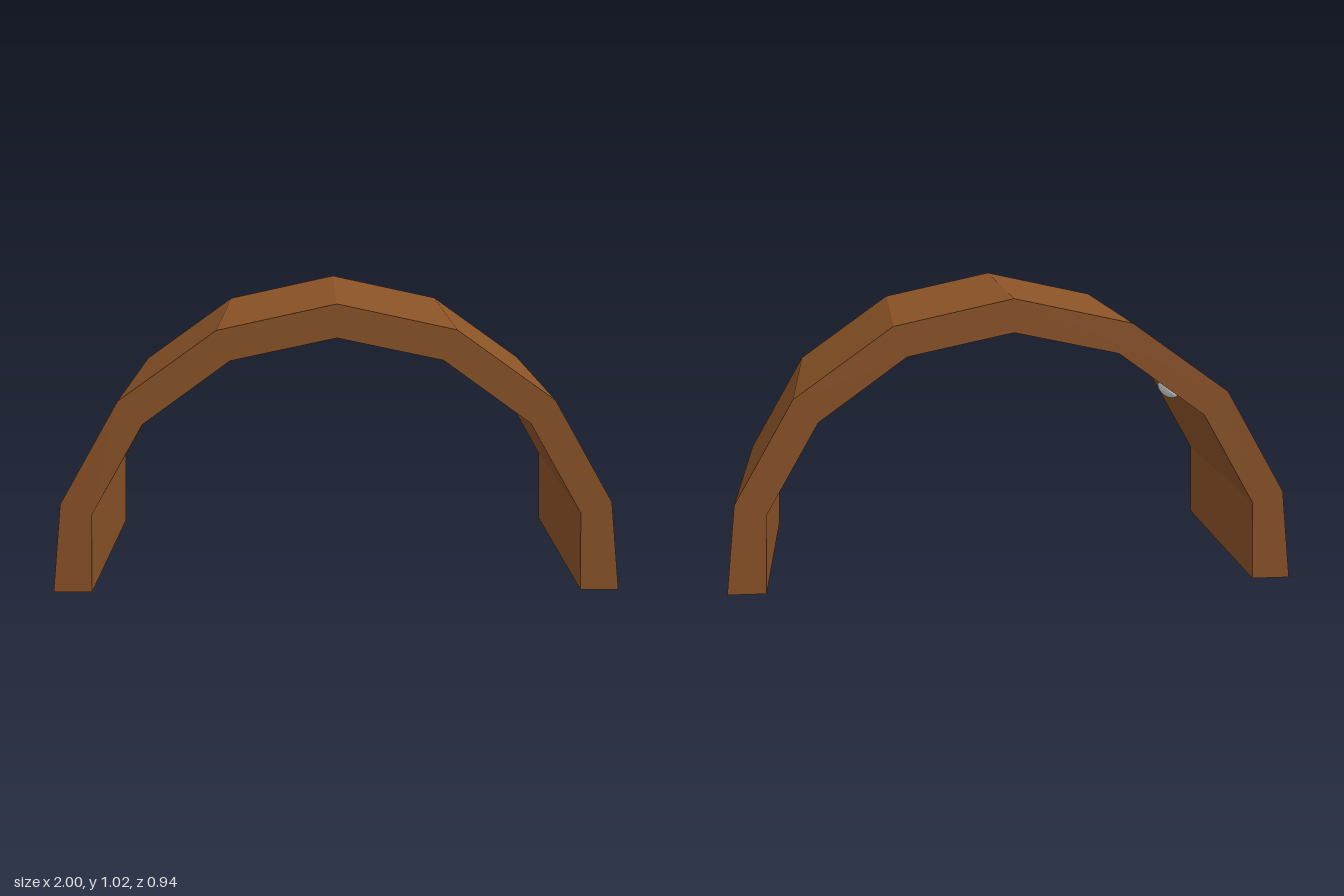
import * as THREE from 'three';

// Right half of the arch section, from the foot up to the crown
const OUTER = [[1, 0], [0.965, 0.32], [0.755, 0.685], [0.412, 0.93], [0, 1.02]];
const INNER = [[0.865, 0], [0.857, 0.28], [0.672, 0.603], [0.366, 0.825], [0, 0.903]];
const DEPTH = 0.945;

// Mirror a half profile into a full run from +x to -x
const mirrored = (half) => [
  ...half,
  ...half.slice(0, -1).reverse().map(([x, y]) => [-x, y]),
];

export function createModel() {
  const group = new THREE.Group();
  group.name = 'archedCover';

  const wood = new THREE.MeshStandardMaterial({ color: 0x8b5327, flatShading: true });
  const metal = new THREE.MeshStandardMaterial({ color: 0xcccccc });

  // Faceted arch shell
  const outline = [...mirrored(OUTER), ...mirrored(INNER).reverse()];
  const shape = new THREE.Shape(outline.map(([x, y]) => new THREE.Vector2(x, y)));
  const archGeometry = new THREE.ExtrudeGeometry(shape, { depth: DEPTH, bevelEnabled: false });
  archGeometry.translate(0, 0, -DEPTH / 2);
  const arch = new THREE.Mesh(archGeometry, wood);
  arch.name = 'arch';
  group.add(arch);

  // Long oval studs set into the inner walls
  const studGeometry = new THREE.SphereGeometry(1, 20, 14);
  studGeometry.rotateX(Math.PI / 2);
  studGeometry.scale(0.027, 0.027, 0.13);
  for (const side of [1, -1]) {
    const stud = new THREE.Mesh(studGeometry, metal);
    stud.name = side > 0 ? 'leftStud' : 'rightStud';
    stud.position.set(side * 0.645, 0.613, 0);
    group.add(stud);
  }

  return group;
}
